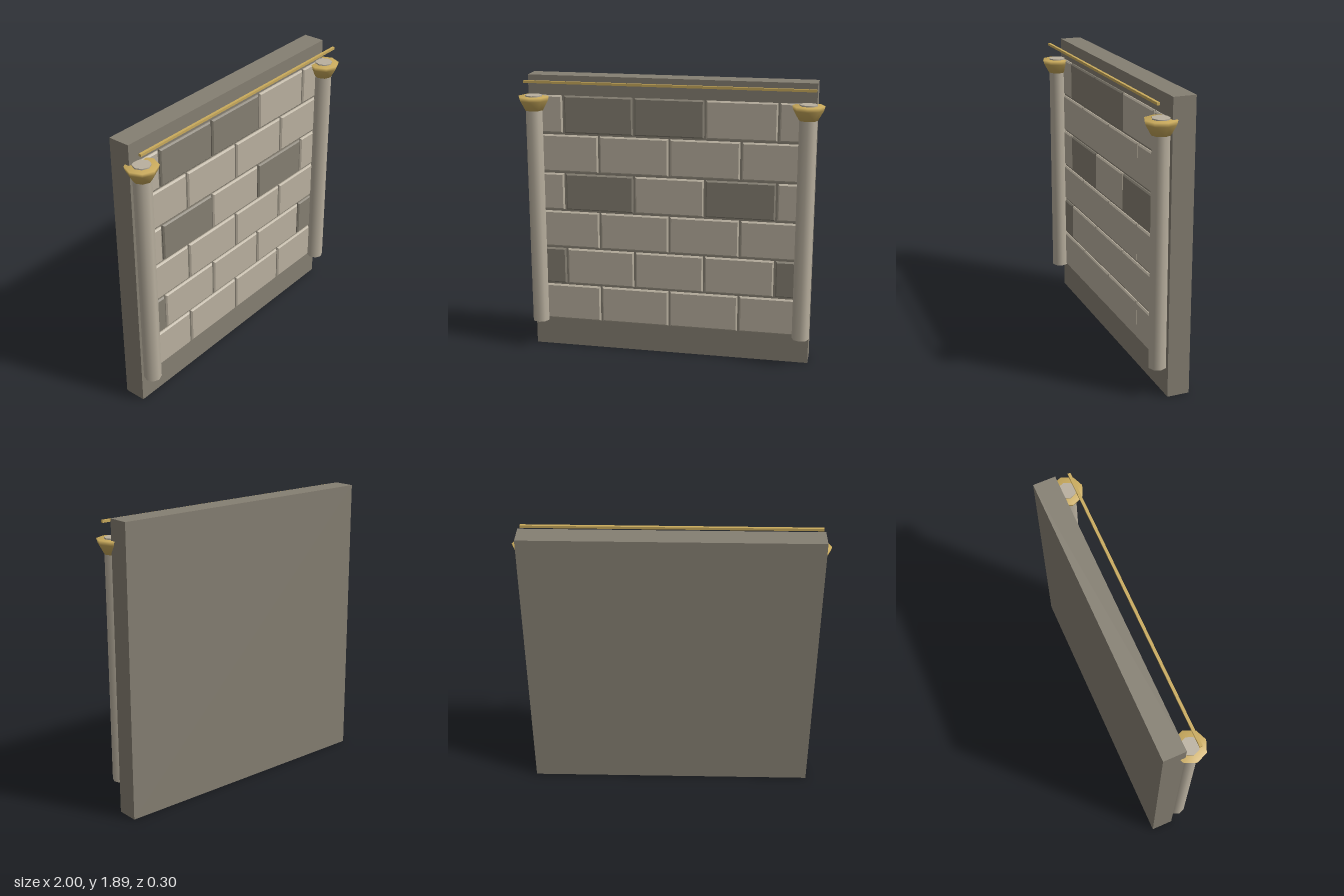
import * as THREE from 'three';

const material = (name, color, extra = {}) => {
  const m = new THREE.MeshStandardMaterial({ color, ...extra });
  m.name = name;
  return m;
};

export function createModel() {
  const group = new THREE.Group();
  const darkStone = material('dark stone', 0x857f72);
  const paleStone = material('pale stone', 0xb9b09f);
  const gold = material('gold', 0xc9aa5c);

  const add = (name, geometry, mat, x, y, z) => {
    const mesh = new THREE.Mesh(geometry, mat);
    mesh.name = name;
    mesh.position.set(x, y, z);
    group.add(mesh);
    return mesh;
  };

  // Backing slab, also visible as plinth, top band and mortar
  const width = 1.89;
  add('wallSlab', new THREE.BoxGeometry(width, 1.89, 0.145), darkStone, 0, 0.945, -0.0725);

  // Block with a chamfered front edge; its back is sunk into the slab
  const bevel = 0.009;
  const blockGeometry = (w, h) => {
    const x = w / 2 - bevel, y = h / 2 - bevel;
    const shape = new THREE.Shape([
      new THREE.Vector2(-x, -y), new THREE.Vector2(x, -y),
      new THREE.Vector2(x, y), new THREE.Vector2(-x, y),
    ]);
    return new THREE.ExtrudeGeometry(shape, {
      depth: 0.02, bevelEnabled: true, bevelThickness: bevel, bevelSize: bevel, bevelSegments: 1,
    });
  };

  // Six courses in running bond, trimmed behind the columns
  const pitchX = width / 4, pitchY = 0.2627, gap = 0.014, limit = 0.875;
  const darkBlocks = new Set(['1:0', '1:4', '3:1', '3:3', '5:1', '5:2']);
  for (let row = 0; row < 6; row++) {
    const odd = row % 2;
    for (let i = 0; i < 4 + odd; i++) {
      const start = -width / 2 + (i - odd / 2) * pitchX;
      const left = Math.max(start + gap / 2, -limit);
      const right = Math.min(start + pitchX - gap / 2, limit);
      const mat = darkBlocks.has(`${row}:${i}`) ? darkStone : paleStone;
      add('stoneBlock', blockGeometry(right - left, pitchY - gap), mat,
        (left + right) / 2, 0.197 + row * pitchY + (pitchY - gap) / 2, -0.013);
    }
  }

  // Columns with flared gilded capitals
  const capitalProfile = [[0, 1.665], [0.06, 1.665], [0.096, 1.73], [0.103, 1.757], [0, 1.757]]
    .map(([r, y]) => new THREE.Vector2(r, y));
  for (const side of [-1, 1]) {
    add('column', new THREE.CylinderGeometry(0.057, 0.057, 1.57, 8), paleStone, side * 0.895, 0.98, 0.05);
    add('columnCapital', new THREE.LatheGeometry(capitalProfile, 8), gold, side * 0.895, 0, 0.05);
  }

  // Slim gilded rail in front of the top band
  add('topRail', new THREE.BoxGeometry(width, 0.016, 0.018), gold, 0, 1.858, 0.09);

  return group;
}
